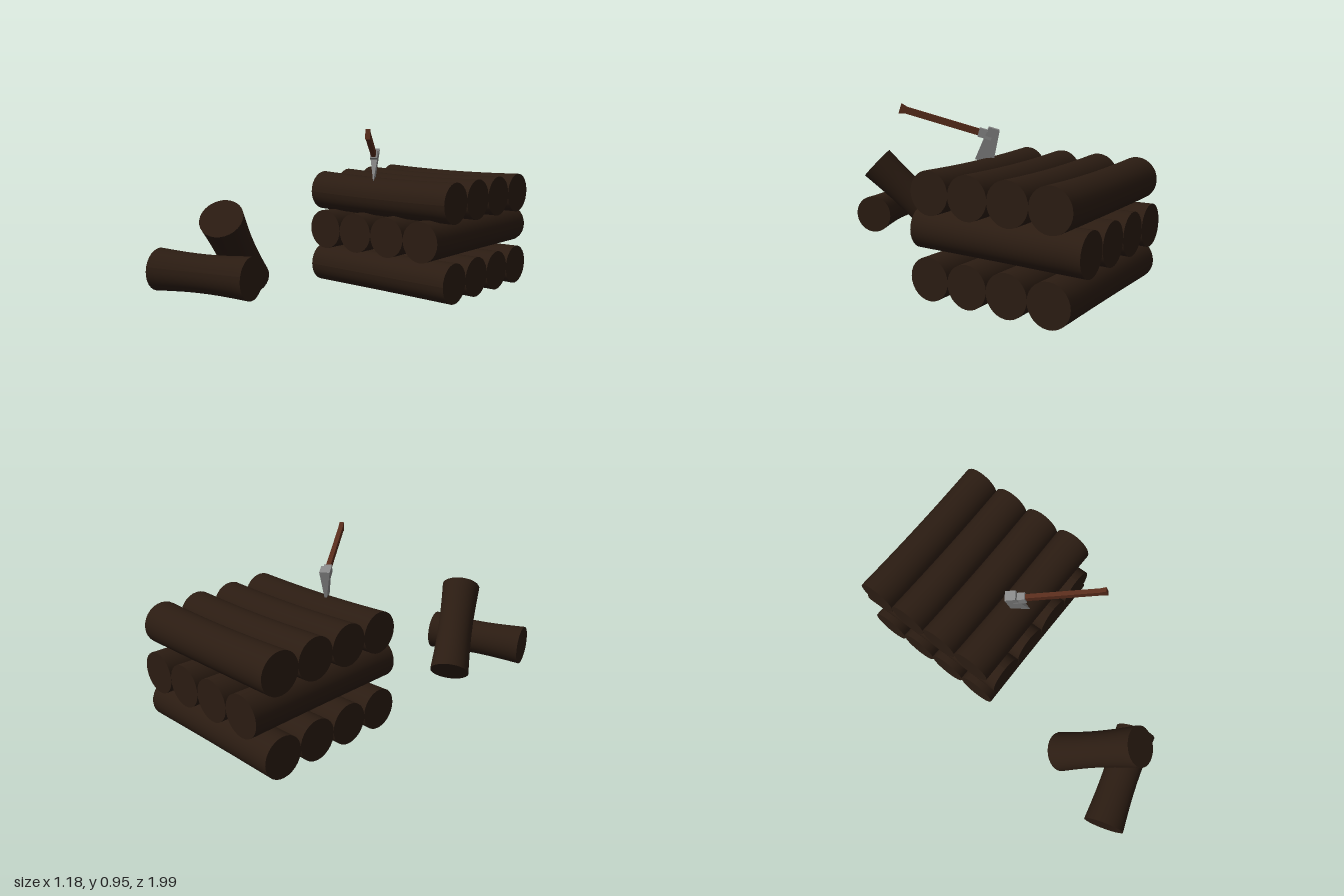
import * as THREE from 'three';

const bark = new THREE.MeshStandardMaterial({ color: 0x2b1c12 });
const wood = new THREE.MeshStandardMaterial({ color: 0x5a2d1c, flatShading: true });
const steel = new THREE.MeshStandardMaterial({ color: 0x8a8a8a, flatShading: true });

// Log between two points: thinner in the middle, with a slight sag
function makeLog(name, from, to, waist, sag) {
  const a = new THREE.Vector3(...from), b = new THREE.Vector3(...to);
  const axis = b.clone().sub(a), length = axis.length();
  const geo = new THREE.CylinderGeometry(0.113, 0.113, length, 28, 10);
  const pos = geo.attributes.position;
  const mid = a.clone().add(b).multiplyScalar(0.5);
  const turn = new THREE.Quaternion().setFromUnitVectors(new THREE.Vector3(0, 1, 0), axis.normalize());
  const v = new THREE.Vector3();
  for (let i = 0; i < pos.count; i++) {
    v.fromBufferAttribute(pos, i);
    const t = v.y / length;                      // -0.5 .. 0.5
    const k = 1 - waist * Math.cos(Math.PI * t);
    v.x *= k;
    v.z *= k;
    v.applyQuaternion(turn).add(mid);
    v.y += sag * (2 * t * t - 0.5 * t - 0.2);
    pos.setXYZ(i, v.x, v.y, v.z);
  }
  geo.computeVertexNormals();
  const mesh = new THREE.Mesh(geo, bark);
  mesh.name = name;
  return mesh;
}

// Box spanning x0..x1 whose corners are moved by a rule
function shapedBox(name, material, x0, x1, h, w, y, rule) {
  const geo = new THREE.BoxGeometry(x1 - x0, h, w);
  geo.translate((x0 + x1) / 2, y, 0);
  const pos = geo.attributes.position, v = new THREE.Vector3();
  for (let i = 0; rule && i < pos.count; i++) {
    v.fromBufferAttribute(pos, i);
    rule(v);
    pos.setXYZ(i, v.x, v.y, v.z);
  }
  geo.computeVertexNormals();
  const mesh = new THREE.Mesh(geo, material);
  mesh.name = name;
  return mesh;
}

// Axe built along local +x (handle) with the edge pointing to local -y
function makeAxe() {
  const axe = new THREE.Group();
  axe.name = 'axe';
  axe.add(
    shapedBox('axeHead', steel, -0.03, 0.03, 0.19, 0.056, -0.095, (v) => {
      if (v.y < -0.1) {
        v.x *= 1.7;
        v.z *= 0.06;
      }
    }),
    shapedBox('axeCollar', steel, 0, 0.075, 0.048, 0.042, -0.042),
    shapedBox('axeHandle', wood, 0.03, 0.48, 0.036, 0.025, -0.042),
    // Flared grip end
    shapedBox('handleEnd', wood, 0.48, 0.515, 0.036, 0.025, -0.042, (v) => {
      if (v.x > 0.5) v.y = -0.042 + (v.y + 0.042) * 1.5;
    })
  );
  const along = new THREE.Vector3(0.543, 0.287, 0.789).normalize();
  const side = along.clone().cross(new THREE.Vector3(0, 1, 0)).normalize();
  const up = side.clone().cross(along);
  axe.quaternion.setFromRotationMatrix(new THREE.Matrix4().makeBasis(along, up, side));
  axe.position.set(0.022, 0.817, -0.193);
  return axe;
}

export function createModel() {
  const model = new THREE.Group();
  model.name = 'woodpile';

  // Stacked layers, crossing in turn
  const stack = new THREE.Group();
  stack.name = 'logStack';
  for (let i = 0; i < 4; i++) {
    const z = -0.182 - i * 0.2245, x = -0.23 + i * 0.2265;
    stack.add(
      makeLog('bottomLog', [-0.36, 0.115, z], [0.585, 0.115, z], 0.03, 0.004),
      makeLog('middleLog', [x, 0.343, -0.045], [x, 0.343, -0.995], 0.03, 0.004),
      makeLog('topLog', [-0.36, 0.551, z], [0.585, 0.551, z], 0.035, 0.013)
    );
  }
  model.add(stack);

  // Two loose logs, one leaning on the other
  model.add(
    makeLog('lyingLog', [-0.562, 0.214, 0.89], [-0.02, 0.214, 0.73], 0.11, 0),
    makeLog('leaningLog', [-0.355, 0.122, 0.447], [-0.15, 0.515, 0.808], 0.1, 0)
  );

  model.add(makeAxe());
  return model;
}
